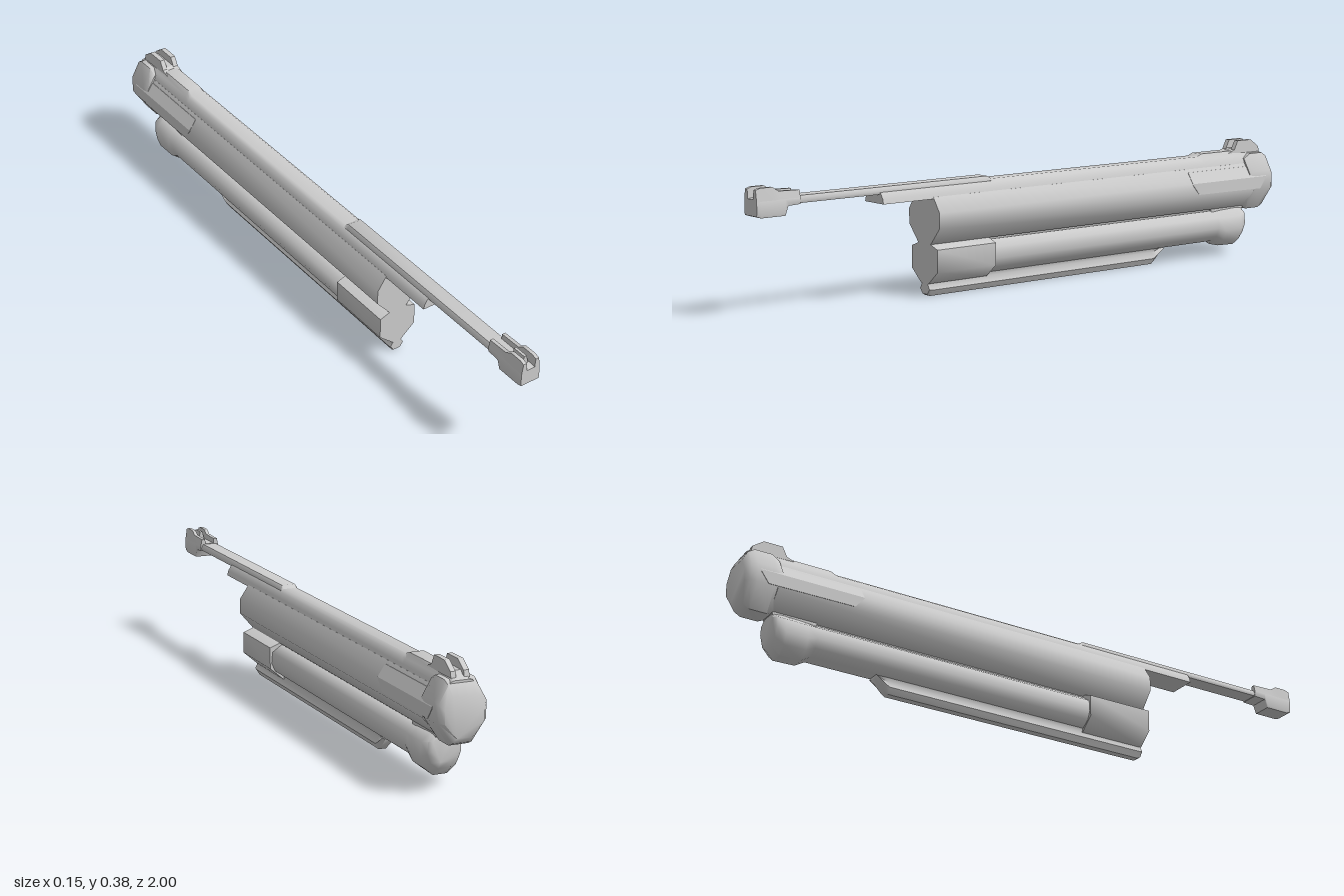
import * as THREE from 'three';
import { toCreasedNormals } from 'three/addons/utils/BufferGeometryUtils.js';

const material = new THREE.MeshStandardMaterial({ color: 0xcccccc });

// Mirrors a right-hand outline (bottom to top) into a closed ring.
const mirror = (half) => [...half, ...half.slice().reverse().map(([x, y]) => [-x, y])];

// Fits a half outline between y0 and y1 and widens it by w.
const fit = (half, w, y0, y1) => half.map(([x, t]) => [x * w, y0 + t * (y1 - y0)]);

// Skins closed rings [z, ring], ordered front to back, with capped ends.
function loft(name, sections, crease = 0.95) {
  const pos = [], idx = [], n = sections[0][1].length;
  for (const [z, ring] of sections) for (const [x, y] of ring) pos.push(x, y, z);
  for (let i = 0; i < sections.length - 1; i++) {
    for (let j = 0; j < n; j++) {
      const a = i * n + j, b = i * n + (j + 1) % n;
      idx.push(a, a + n, b, b, a + n, b + n);
    }
  }
  const last = (sections.length - 1) * n;
  for (let j = 1; j < n - 1; j++) {
    idx.push(0, j, j + 1);
    idx.push(last, last + j + 1, last + j);
  }
  const geo = new THREE.BufferGeometry();
  geo.setAttribute('position', new THREE.Float32BufferAttribute(pos, 3));
  geo.setIndex(idx);
  const mesh = new THREE.Mesh(toCreasedNormals(geo, crease), material);
  mesh.name = name;
  return mesh;
}

// Extrudes a side outline of [z, y] points between x0 and x1.
function slab(name, outline, x0, x1) {
  const shape = new THREE.Shape(outline.map(([z, y]) => new THREE.Vector2(z, y)));
  const geo = new THREE.ExtrudeGeometry(shape, { depth: x1 - x0, bevelEnabled: false });
  geo.rotateY(-Math.PI / 2).translate(x1, 0, 0);
  const mesh = new THREE.Mesh(geo, material);
  mesh.name = name;
  return mesh;
}

export function createModel() {
  const group = new THREE.Group();

  // Long octagonal upper body
  const oct = [[0.4, 0], [1, 0.37], [1, 0.69], [0.6, 1]];
  const body = (w, y0, y1) => mirror(fit(oct, w, y0, y1));
  group.add(loft('upperBody', [
    [0.4, body(0.075, 0.157, 0.3)],
    [-0.9, body(0.075, 0.157, 0.3)],
  ]));

  // Rounded end cap behind the body
  group.add(loft('rearCap', [
    [-0.885, body(0.072, 0.157, 0.315)],
    [-0.91, body(0.075, 0.145, 0.33)],
    [-0.965, body(0.075, 0.145, 0.33)],
    [-0.985, body(0.072, 0.155, 0.318)],
    [-1, body(0.06, 0.172, 0.29)],
  ]));

  // Top rail, running from ahead of the body to the rear cap
  const rail = (y) => mirror([[0.046, 0.295], [0.042, 0.31], [0.033, 0.325], [0.022, y]]);
  group.add(loft('topRail', [
    [0.58, rail(0.334)], [-0.69, rail(0.334)], [-0.71, rail(0.342)],
    [-0.95, rail(0.342)], [-0.98, rail(0.328)],
  ]));

  // Thin strip that carries the front sight
  const strip = mirror([[0.027, 0.322], [0.03, 0.33], [0.022, 0.343]]);
  group.add(loft('frontStrip', [[0.9, strip], [0.18, strip], [0.165, mirror([[0.027, 0.322], [0.03, 0.327], [0.022, 0.334]])]]));

  // Front sight: base, two ears and a centre post
  const base = (y0, y1) => mirror([[0.03, y0], [0.032, y0 + 0.008], [0.032, y1 - 0.008], [0.028, y1]]);
  group.add(loft('frontSightBase', [
    [1, base(0.296, 0.343)], [0.985, base(0.291, 0.345)],
    [0.905, base(0.291, 0.345)], [0.895, base(0.318, 0.345)], [0.855, base(0.32, 0.345)],
  ]));
  for (const s of [1, -1]) {
    const ear = (y) => {
      const ring = [[0.013, 0.335], [0.032, 0.335], [0.027, y], [0.016, y]].map(([x, v]) => [x * s, v]);
      return s > 0 ? ring : ring.reverse();
    };
    group.add(loft(s > 0 ? 'leftSightEar' : 'rightSightEar', [
      [1, ear(0.37)], [0.985, ear(0.375)], [0.945, ear(0.375)], [0.925, ear(0.362)], [0.855, ear(0.36)],
    ], 0.6));
  }
  const post = mirror([[0.011, 0.34], [0.004, 0.371]]);
  group.add(loft('frontSightPost', [[0.975, post], [0.93, post]], 0.4));

  // Notched rear sight
  const rearOutline = [[-0.83, 0.335], [-0.97, 0.33], [-0.965, 0.35], [-0.93, 0.374], [-0.87, 0.374], [-0.855, 0.345]];
  group.add(slab('rearSightLeft', rearOutline, 0.012, 0.028));
  group.add(slab('rearSightRight', rearOutline, -0.028, -0.012));
  group.add(slab('rearSightFloor', [[-0.84, 0.335], [-0.965, 0.33], [-0.95, 0.348], [-0.86, 0.348]], -0.012, 0.012));

  // Raised panels on both flanks, tapering at their ends
  for (const s of [1, -1]) {
    const panel = (low) => {
      const ring = [[0.04, low], [0.0765, low], [0.0765, Math.max(low, 0.255)], [0.053, 0.29], [0.04, 0.29]]
        .map(([x, y]) => [x * s, y]);
      return s > 0 ? ring : ring.reverse();
    };
    group.add(loft(s > 0 ? 'leftSidePanel' : 'rightSidePanel', [
      [-0.622, panel(0.252)], [-0.652, panel(0.218)], [-0.93, panel(0.216)], [-0.955, panel(0.25)],
    ], 0.4));
  }

  // Deep fore block below the body
  const block = mirror([[0.018, 0.038], [0.063, 0.077], [0.063, 0.145], [0.028, 0.158]]);
  group.add(loft('foreBlock', [[0.4, block], [0.18, block]]));

  // Lower tube with a swollen rear end
  const tubeHalf = [[0.35, 0], [0.8, 0.18], [1, 0.45], [0.95, 0.8], [0.45, 1]];
  const tube = (w, y0, y1) => mirror(fit(tubeHalf, w, y0, y1));
  group.add(loft('lowerTube', [
    [0.19, tube(0.058, 0.05, 0.15)], [-0.76, tube(0.058, 0.05, 0.15)],
    [-0.79, tube(0.061, 0.032, 0.152)], [-0.86, tube(0.061, 0.03, 0.155)],
    [-0.885, tube(0.052, 0.055, 0.155)], [-0.893, tube(0.042, 0.075, 0.15)],
  ]));

  // Web joining the tube's rear end, and its whole length, to the body
  group.add(slab('rearWeb', [[-0.75, 0.13], [-0.88, 0.13], [-0.9, 0.165], [-0.75, 0.165]], -0.03, 0.03));
  group.add(slab('bodySeam', [[0.18, 0.14], [-0.76, 0.14], [-0.76, 0.165], [0.18, 0.165]], -0.02, 0.02));

  // Slim rod along the underside, swept up at its rear
  const rodHalf = [[0.5, 0], [1, 0.45], [0.6, 0.9], [0.8, 1.2]];
  const rod = (y0, y1) => mirror(fit(rodHalf, 0.023, y0, y1));
  group.add(loft('underRod', [
    [0.4, rod(0.006, 0.04)], [0.39, rod(0, 0.042)], [-0.5, rod(0, 0.042)],
    [-0.515, rod(0.012, 0.044)], [-0.545, rod(0.042, 0.054)],
  ]));

  return group;
}
